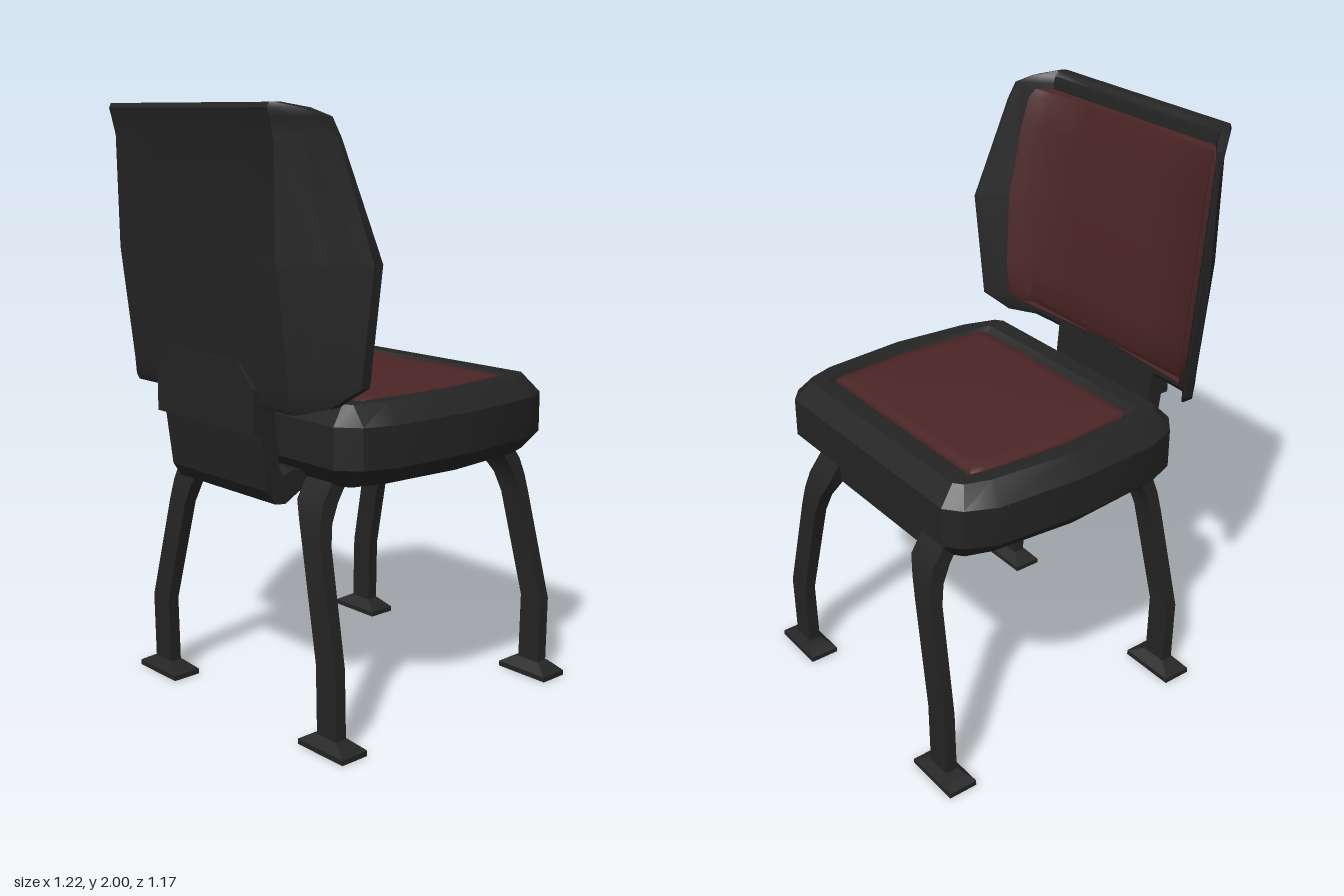
import * as THREE from 'three';
import { toCreasedNormals } from 'three/addons/utils/BufferGeometryUtils.js';

// Skin closed rings of [x,y,z] points, cap both ends, and face the result outward
function loft(rings, crease = 0.5) {
  const tris = [];
  const n = rings[0].length;
  for (let r = 0; r < rings.length - 1; r++) {
    for (let i = 0; i < n; i++) {
      const j = (i + 1) % n;
      const a = rings[r][i], b = rings[r][j], c = rings[r + 1][j], d = rings[r + 1][i];
      tris.push([a, b, c], [a, c, d]);
    }
  }
  const centre = (ring) => [0, 1, 2].map((k) => ring.reduce((s, p) => s + p[k], 0) / n);
  const first = rings[0], last = rings[rings.length - 1];
  const c0 = centre(first), c1 = centre(last);
  for (let i = 0; i < n; i++) {
    const j = (i + 1) % n;
    tris.push([c0, first[j], first[i]], [c1, last[i], last[j]]);
  }
  let volume = 0;
  for (const [a, b, c] of tris) {
    volume += a[0] * (b[1] * c[2] - b[2] * c[1]) + a[1] * (b[2] * c[0] - b[0] * c[2]) + a[2] * (b[0] * c[1] - b[1] * c[0]);
  }
  const points = tris.flatMap((t) => (volume < 0 ? [t[0], t[2], t[1]] : t)).flat();
  const geo = new THREE.BufferGeometry();
  geo.setAttribute('position', new THREE.Float32BufferAttribute(points, 3));
  return toCreasedNormals(geo, crease);
}

// Symmetric plan outline from one side's [x,z] points
const plan = (half, y) => [
  ...half.map(([x, z]) => [x, y, z]),
  ...[...half].reverse().map(([x, z]) => [x, y, -z]),
];
const rect = (y, x0, x1, z0, z1) => [[x0, y, z0], [x1, y, z0], [x1, y, z1], [x0, y, z1]];

const MID = 0.077; // seat centre along x
const BEND = 0.40; // where the backrest wings begin

// Backrest cross-section, with wings folding forward beyond BEND
function backRow(y, w, front, back, bulge = 0) {
  const ts = [-1, -0.92, -0.5, 0, 0.25, 0.5, 0.75, 1, 1.5, 1.92, 2];
  const zs = ts.map((t, i) => {
    if (i < 3) return -(BEND + (w - BEND) * -t);
    if (i > 7) return BEND + (w - BEND) * (t - 1);
    return -BEND + 2 * BEND * t;
  });
  const wing = (z) => Math.max(0, Math.abs(z) - BEND);
  const f = zs.map((z, i) => {
    const edge = i === 0 || i === zs.length - 1;
    return [front + wing(z) + (edge ? -0.008 : bulge), y, z];
  });
  const b = zs.map((z) => [back + wing(z) * 1.16, y, z]).reverse();
  return [...f, ...b];
}

export function createModel() {
  const black = new THREE.MeshStandardMaterial({ color: 0x242424 });
  black.name = 'black';
  const red = new THREE.MeshStandardMaterial({ color: 0x4c2525 });
  red.name = 'dark red upholstery';

  const model = new THREE.Group();
  model.name = 'chair';
  const add = (name, geo, mat, parent = model) => {
    const mesh = new THREE.Mesh(geo, mat);
    mesh.name = name;
    parent.add(mesh);
    return mesh;
  };

  // Seat body: bevelled block with a shallow well in the top
  const outer = [[-0.39, 0.43], [-0.33, 0.5], [-0.22, 0.54], [0.08, 0.558], [0.4, 0.537], [0.5, 0.49], [0.545, 0.435]];
  const upper = [[-0.335, 0.41], [-0.315, 0.437], [-0.2, 0.472], [0.08, 0.497], [0.38, 0.472], [0.465, 0.443], [0.488, 0.415]];
  const inner = [[-0.27, 0.39], [-0.262, 0.41], [-0.2, 0.42], [0.08, 0.44], [0.37, 0.42], [0.422, 0.41], [0.43, 0.39]];
  const well = [[-0.24, 0.38], [-0.238, 0.395], [-0.2, 0.405], [0.08, 0.425], [0.37, 0.405], [0.408, 0.395], [0.41, 0.38]];
  add('seatFrame', loft([
    plan(upper, 0.84), plan(outer, 0.905), plan(outer, 1.04),
    plan(upper, 1.1), plan(inner, 1.1), plan(well, 1.08),
  ], 0.4), black);

  // Seat pad, slightly domed
  const pad = [[-0.232, 0.385], [-0.23, 0.395], [-0.2, 0.402], [0.08, 0.42], [0.36, 0.402], [0.4, 0.395], [0.402, 0.385]];
  const shrink = (s) => pad.map(([x, z]) => [MID + (x - MID) * s, z * s]);
  add('seatPad', loft([
    plan(pad, 1.07), plan(pad, 1.09), plan(shrink(0.97), 1.1), plan(shrink(0.86), 1.105),
  ], 0.9), red);

  // Backrest shell: height, half width, front x, back x
  add('backrestShell', loft([
    [1.09, 0.405, -0.49, -0.525], [1.11, 0.475, -0.475, -0.535], [1.17, 0.54, -0.475, -0.54],
    [1.54, 0.585, -0.512, -0.585], [1.9, 0.52, -0.55, -0.59],
    [1.96, 0.5, -0.548, -0.605], [1.985, 0.46, -0.555, -0.612], [2.0, 0.41, -0.575, -0.605],
  ].map((r) => backRow(...r)), 0.6), black);

  // Backrest pad: height, half width, front x, back x, bulge
  add('backrestPad', loft([
    [1.145, 0.43, -0.472, -0.5, 0.002], [1.175, 0.462, -0.472, -0.5, 0.016],
    [1.3, 0.474, -0.484, -0.51, 0.02], [1.54, 0.485, -0.508, -0.54, 0.018],
    [1.8, 0.47, -0.536, -0.56, 0.018], [1.91, 0.458, -0.546, -0.565, 0.014],
    [1.94, 0.445, -0.546, -0.565, 0.003],
  ].map((r) => backRow(...r)), 0.9), red);

  // Bent bracket joining seat and backrest
  const profile = new THREE.Shape([
    [-0.54, 1.12], [-0.5, 0.82], [-0.47, 0.775], [-0.43, 0.77], [-0.33, 0.825], [-0.33, 0.865],
    [-0.4, 0.875], [-0.44, 0.86], [-0.455, 0.9], [-0.475, 1.12],
  ].map(([x, y]) => new THREE.Vector2(x, y)));
  const bracket = new THREE.ExtrudeGeometry(profile, { depth: 0.5, bevelEnabled: false });
  bracket.translate(0, 0, -0.25);
  add('backBracket', bracket, black);

  // Mounting plate behind the backrest
  const plate = [[-0.25, 1.01], [-0.25, 1.15], [-0.17, 1.23], [0.17, 1.23], [0.25, 1.15], [0.25, 1.01]];
  add('backPlate', loft([-0.555, -0.52].map((x) => plate.map(([z, y]) => [x, y, z]))), black);

  // Legs, feet and cross bars, mirrored front/back and left/right
  const legSections = [ // y, x range, z range
    [0.03, 0.54, 0.582, 0.395, 0.485], [0.28, 0.545, 0.586, 0.395, 0.485],
    [0.65, 0.522, 0.568, 0.31, 0.397], [0.72, 0.508, 0.558, 0.285, 0.385],
    [0.78, 0.475, 0.54, 0.255, 0.375], [0.845, 0.43, 0.495, 0.25, 0.37],
  ];
  const footSections = [
    [0, 0.505, 0.61, 0.335, 0.545], [0.018, 0.505, 0.61, 0.335, 0.545], [0.048, 0.537, 0.586, 0.39, 0.49],
  ];
  for (const end of ['front', 'back']) {
    const mx = (x) => (end === 'front' ? x : 2 * MID - x);
    for (const side of [1, -1]) {
      const build = (rows) => loft(rows.map(([y, x0, x1, z0, z1]) => rect(y, mx(x0), mx(x1), z0 * side, z1 * side)));
      const leg = new THREE.Group();
      leg.name = end + (side > 0 ? 'LeftLeg' : 'RightLeg');
      add('legTube', build(legSections), black, leg);
      add('foot', build(footSections), black, leg);
      model.add(leg);
    }
    const bar = add(end + 'CrossBar', new THREE.BoxGeometry(0.06, 0.065, 0.54), black);
    bar.position.set(mx(0.458), 0.817, 0);
  }
  return model;
}
